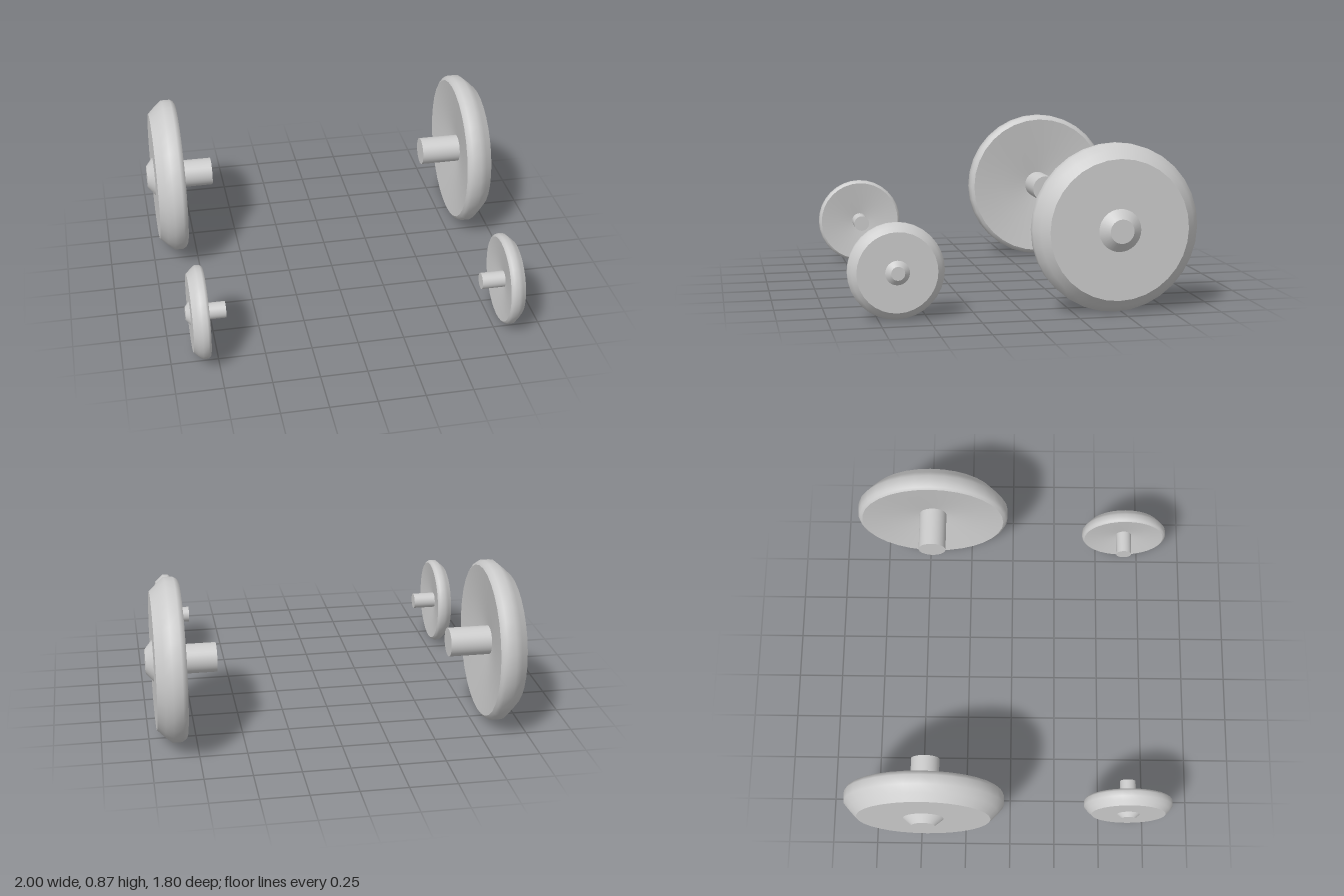
import * as THREE from 'three';

const material = new THREE.MeshStandardMaterial({ color: 0xcccccc });

// Profiles as [radius, distance from the wheel's inner rim], for a wheel of radius 0.435
const profiles = {
  axleEnd: [[0, -0.178], [0.078, -0.178]],
  axle: [[0.078, -0.178], [0.078, 0.045]],
  innerDish: [[0.078, 0.045], [0.24, 0.022], [0.41, 0]],
  tread: [[0.41, 0], [0.425, 0.01], [0.435, 0.027], [0.435, 0.076], [0.402, 0.115], [0.363, 0.155]],
  outerFace: [[0.363, 0.155], [0.11, 0.155]],
  hubRim: [[0.11, 0.155], [0.062, 0.195]],
  hubCap: [[0.062, 0.195], [0, 0.195]],
};

// One wheel: concentric turned parts, with the outer side towards side * x
function makeWheel(name, side, radius, innerX, z) {
  const wheel = new THREE.Group();
  wheel.name = name;
  const s = radius / 0.435;
  for (const [part, points] of Object.entries(profiles)) {
    const outline = points.map(([r, d]) => new THREE.Vector2(r * s, d * s));
    const mesh = new THREE.Mesh(new THREE.LatheGeometry(outline, 32), material);
    mesh.name = part;
    wheel.add(mesh);
  }
  wheel.rotation.z = -side * Math.PI / 2;
  wheel.position.set(side * innerX, radius, z);
  return wheel;
}

export function createModel() {
  const model = new THREE.Group();
  model.name = 'wheelSet';
  for (const [label, side] of [['Left', 1], ['Right', -1]]) {
    model.add(makeWheel('rear' + label + 'Wheel', side, 0.435, 0.805, -0.467));
    model.add(makeWheel('front' + label + 'Wheel', side, 0.246, 0.793, 0.656));
  }
  return model;
}
